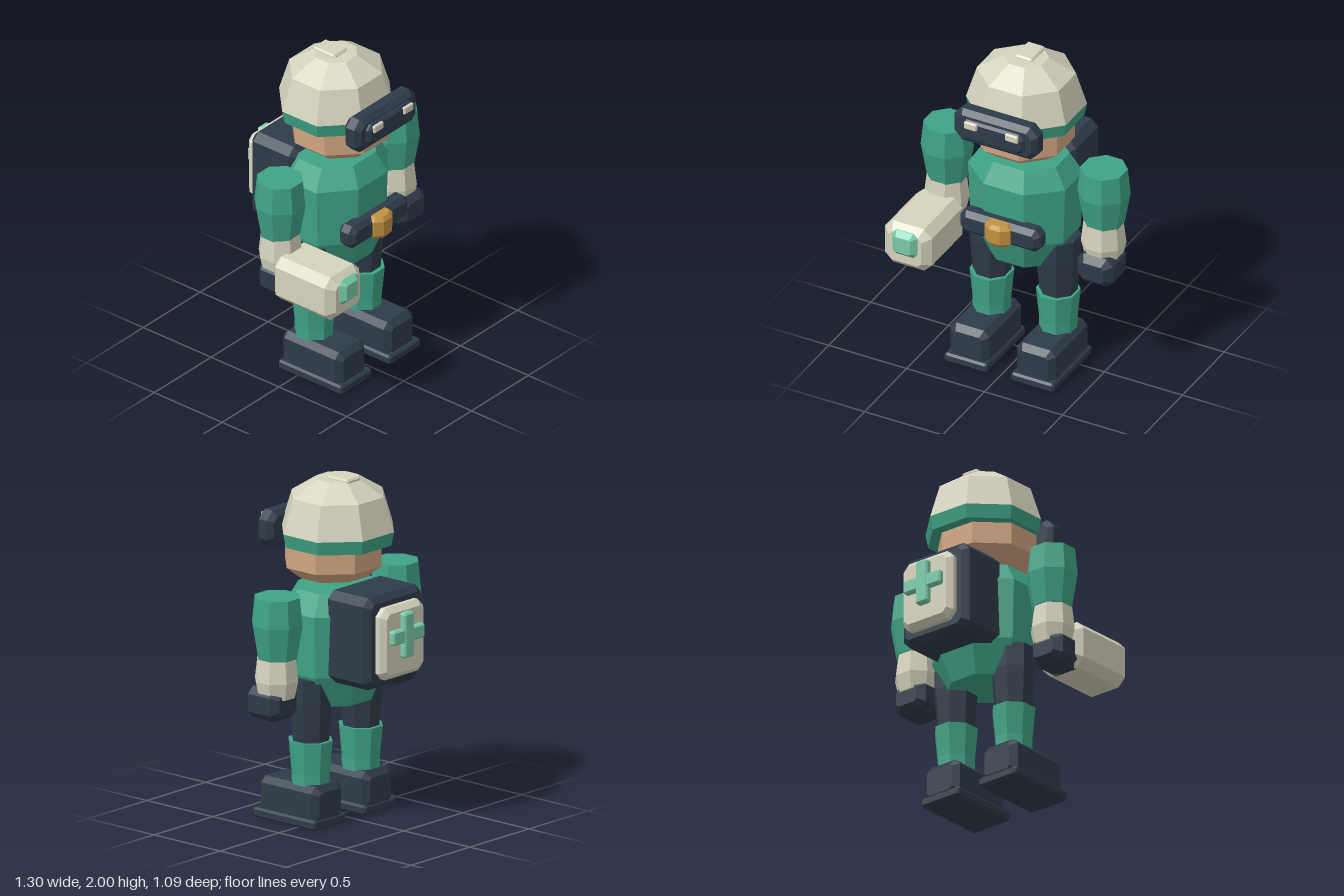
import * as THREE from 'three';

const mat = (name, color) => {
  const m = new THREE.MeshStandardMaterial({ color, flatShading: true });
  m.name = name;
  return m;
};

export function createModel() {
  const cream = mat('cream', 0xd6d3be);
  const green = mat('green', 0x3fa386);
  const mint = mat('mint', 0x7accaa);
  const navy = mat('navy', 0x2e3b49);
  const skin = mat('skin', 0xd0a480);
  const gold = mat('gold', 0xc2913f);

  const root = new THREE.Group();
  const add = (name, geo, material, parent = root) => {
    const mesh = new THREE.Mesh(geo, material);
    mesh.name = name;
    parent.add(mesh);
    return mesh;
  };

  // Chamfered box from its limits; c is the edge chamfer, k the corner cut seen from the front
  const box = ([x0, x1], [y0, y1], [z0, z1], c = 0.03, k = c) => {
    const w = (x1 - x0) / 2, h = (y1 - y0) / 2, d = z1 - z0;
    const s = new THREE.Shape([
      [w - k, -h], [w, -h + k], [w, h - k], [w - k, h],
      [-w + k, h], [-w, h - k], [-w, -h + k], [-w + k, -h],
    ].map(([x, y]) => new THREE.Vector2(x, y)));
    const g = new THREE.ExtrudeGeometry(s, {
      depth: d - 2 * c, bevelEnabled: true, bevelSegments: 1,
      bevelThickness: c, bevelSize: c, bevelOffset: -c,
    });
    return g.translate((x0 + x1) / 2, (y0 + y1) / 2, z0 + c);
  };

  // Closed eight-sided solid with a flat front; rings are [half width, y], bottom to top
  const octo = (rings, depthRatio = 1, x = 0, z = 0) => {
    const k = 1 / Math.cos(Math.PI / 8);
    const pts = rings.map(([r, y]) => new THREE.Vector2(r * k, y));
    pts.unshift(new THREE.Vector2(0, rings[0][1]));
    pts.push(new THREE.Vector2(0, rings[rings.length - 1][1]));
    return new THREE.LatheGeometry(pts, 8, Math.PI / 8).scale(1, 1, depthRatio).translate(x, 0, z);
  };

  // Head and helmet
  add('face', octo([[0.19, 1.41], [0.272, 1.48], [0.272, 1.63]], 0.97, 0, 0.035), skin);
  add('helmetBand', octo([[0.305, 1.61], [0.32, 1.69]], 0.96), green);
  add('helmetShell', octo([[0.32, 1.69], [0.262, 1.89], [0.12, 1.985]], 0.96), cream);
  add('helmetPad', box([-0.058, 0.058], [1.97, 2.0], [-0.125, 0.04], 0.01), cream);

  // Goggles
  add('goggleFrame', box([-0.268, 0.268], [1.562, 1.776], [0.27, 0.388], 0.03, 0.05), navy);
  add('goggleLens', box([-0.2, 0.2], [1.61, 1.74], [0.37, 0.418], 0.015, 0.03), navy);
  for (const s of [-1, 1]) {
    const x = s * 0.132;
    add('goggleLight', box([x - 0.041, x + 0.041], [1.69, 1.737], [0.41, 0.432], 0.006), cream);
  }

  // Torso, belt and buckle
  add('torso', octo([[0.215, 0.69], [0.298, 0.88], [0.312, 1.24], [0.238, 1.36]], 0.85, 0, 0.01), green);
  add('belt', box([-0.258, 0.258], [0.908, 1.052], [0.222, 0.338], 0.03, 0.035), navy);
  add('buckle', octo([[0.06, 0.91], [0.082, 0.935], [0.082, 1.025], [0.06, 1.05]], 0.75, 0, 0.323), gold);

  // Backpack with a raised plate and cross
  const pack = new THREE.Group();
  pack.name = 'backpack';
  root.add(pack);
  add('packBody', box([-0.242, 0.242], [0.85, 1.39], [-0.44, -0.11], 0.035, 0.045), navy, pack);
  add('packPlate', box([-0.185, 0.185], [0.91, 1.33], [-0.51, -0.42], 0.03, 0.045), cream, pack);
  add('crossBar', box([-0.135, 0.135], [1.118, 1.202], [-0.544, -0.5], 0.01), mint, pack);
  add('crossPost', box([-0.042, 0.042], [1.028, 1.292], [-0.548, -0.5], 0.01), mint, pack);

  // Arms and legs, mirrored
  for (const s of [-1, 1]) {
    const arm = new THREE.Group();
    arm.name = s > 0 ? 'leftArm' : 'rightArm';
    root.add(arm);
    const ax = s * 0.503;
    add('sleeve', octo([[0.108, 1.03], [0.14, 1.23], [0.125, 1.39]], 1, ax, 0.01), green, arm);
    add('forearm', octo([[0.1, 0.8], [0.12, 0.9], [0.105, 1.04]], 1, ax, 0.015), cream, arm);
    const hx = s * 0.508;
    add('glove', box([hx - 0.113, hx + 0.113], [0.675, 0.86], [-0.075, 0.165], 0.04), navy, arm);

    const leg = new THREE.Group();
    leg.name = s > 0 ? 'leftLeg' : 'rightLeg';
    root.add(leg);
    const lx = s * 0.213;
    add('thigh', octo([[0.1, 0.47], [0.12, 0.72], [0.12, 0.86]], 1, lx, 0.015), navy, leg);
    add('shin', octo([[0.1, 0.2], [0.1, 0.3], [0.116, 0.49]], 1.08, lx, 0.017), green, leg);
    const bx = s * 0.213;
    add('boot', box([bx - 0.125, bx + 0.125], [0.02, 0.245], [-0.132, 0.312], 0.035), navy, leg);
    add('sole', box([bx - 0.138, bx + 0.138], [0, 0.058], [-0.135, 0.335], 0.012), navy, leg);
  }

  // Handheld device with a front button
  add('device', box([-0.655, -0.355], [0.675, 0.955], [0.06, 0.512], 0.045, 0.05), cream);
  add('deviceButton', box([-0.583, -0.425], [0.775, 0.935], [0.48, 0.546], 0.03, 0.025), mint);

  return root;
}
